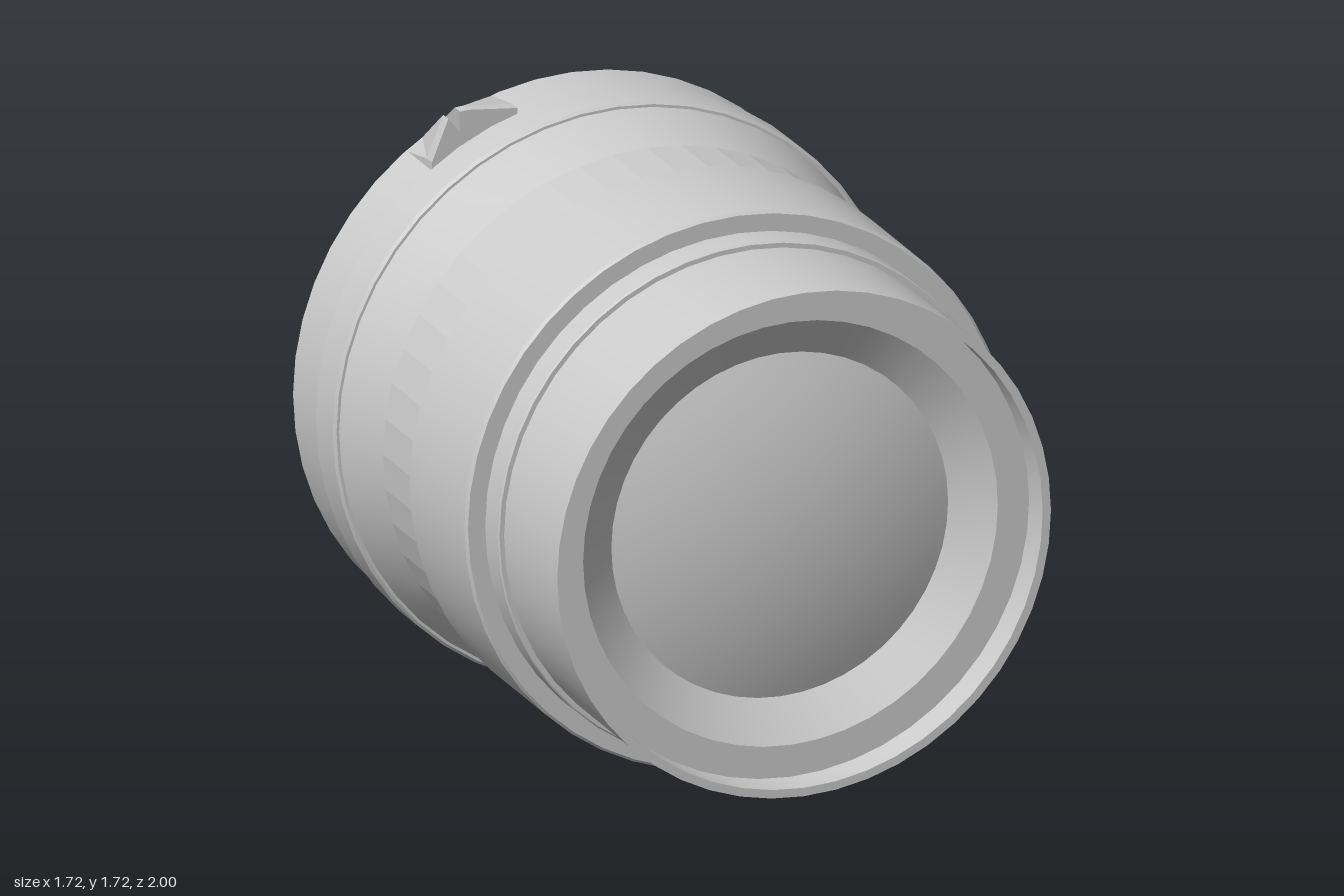
import * as THREE from 'three';
import { toCreasedNormals } from 'three/addons/utils/BufferGeometryUtils.js';

const SEGMENTS = 48;
const AXIS_Y = 0.863;

export function createModel() {
  const model = new THREE.Group();
  const lens = new THREE.Group();
  lens.name = 'lens';
  lens.position.y = AXIS_Y;
  model.add(lens);

  const smooth = new THREE.MeshStandardMaterial({ color: 0xcccccc });
  const faceted = new THREE.MeshStandardMaterial({ color: 0xcccccc, flatShading: true });
  const thin = new THREE.MeshStandardMaterial({
    color: 0xcccccc, flatShading: true, side: THREE.DoubleSide,
  });

  // Turned part along z: profile is [radius, z], listed from back to front
  function turned(name, profile, material = smooth, crease = 0.3) {
    const points = profile.map(([r, z]) => new THREE.Vector2(r, z));
    let geometry = new THREE.LatheGeometry(points, SEGMENTS);
    geometry.rotateX(Math.PI / 2);
    if (crease) geometry = toCreasedNormals(geometry, crease);
    const mesh = new THREE.Mesh(geometry, material);
    mesh.name = name;
    lens.add(mesh);
  }

  // Closed ring or disc with slightly bevelled rims
  function band(name, radius, back, front, bevel = 0.008, inner = 0) {
    turned(name, [
      [inner, back], [radius - bevel, back], [radius, back + bevel],
      [radius, front - bevel], [radius - bevel, front], [inner, front],
    ]);
  }

  // Rear mount
  band('rearCap', 0.37, -1, -0.88, 0.006);
  band('mountFlange', 0.635, -0.885, -0.835, 0.005);
  band('mountNeck', 0.585, -0.84, -0.71, 0.002);
  turned('mountSeal', [[0.57, -0.737], [0.615, -0.735], [0.62, -0.725], [0.605, -0.71]]);

  // Barrel
  band('rearRing', 0.845, -0.712, -0.505, 0.004);
  band('controlRing', 0.861, -0.51, -0.37);
  turned('taper', [[0.803, -0.15], [0.845, -0.37]].reverse());
  turned('waist', [[0.803, -0.15], [0.803, 0.105]], faceted, 0);
  band('focusRing', 0.828, 0.1, 0.515, 0.008, 0.7);
  band('steppedRing', 0.768, 0.51, 0.61, 0.004, 0.7);

  // Front barrel with its recessed rim and funnel
  turned('frontBarrel', [
    [0.75, 0.6], [0.75, 1], [0.725, 1], [0.725, 0.9], [0.63, 0.9], [0.51, 0.82],
  ]);

  // Shallow convex front glass
  const dome = [];
  for (let i = 0; i <= 12; i++) {
    const t = i / 12;
    dome.push([0.515 * (1 - t), 0.82 + 0.08 * (1 - (1 - t) ** 2)]);
  }
  turned('frontGlass', dome, smooth, 0);

  // Notched release tab: ramps up from the rear edge to two points
  const crest = [
    [-0.5, 0.705], [-0.45, 0.828], [-0.4, 0.765], [-0.415, 0.845], [-0.39, 0.847], [-0.24, 0.832],
  ];
  const surfaceY = (x) => Math.sqrt(0.845 ** 2 - x * x) - 0.004;
  const sections = [[-0.712, 0], [-0.56, 1], [-0.522, 1]].map(([z, lift]) =>
    crest.map(([x, y]) => [x, THREE.MathUtils.lerp(surfaceY(x), y, lift), z]));
  sections.push(crest.map(([x]) => [x, surfaceY(x), -0.522]));
  const columns = crest.length;
  const index = [];
  for (let s = 0; s < sections.length - 1; s++) {
    for (let c = 0; c < columns - 1; c++) {
      const a = s * columns + c;
      const b = a + columns;
      index.push(a, b, a + 1, b, b + 1, a + 1);
    }
  }
  // Side walls of the tab
  for (const c of [0, columns - 1]) {
    index.push(c, columns + c, 3 * columns + c, columns + c, 2 * columns + c, 3 * columns + c);
  }
  const tabGeometry = new THREE.BufferGeometry();
  tabGeometry.setAttribute('position', new THREE.Float32BufferAttribute(sections.flat(2), 3));
  tabGeometry.setIndex(index);
  tabGeometry.computeVertexNormals();
  const tab = new THREE.Mesh(tabGeometry, thin);
  tab.name = 'releaseTab';
  lens.add(tab);

  return model;
}
